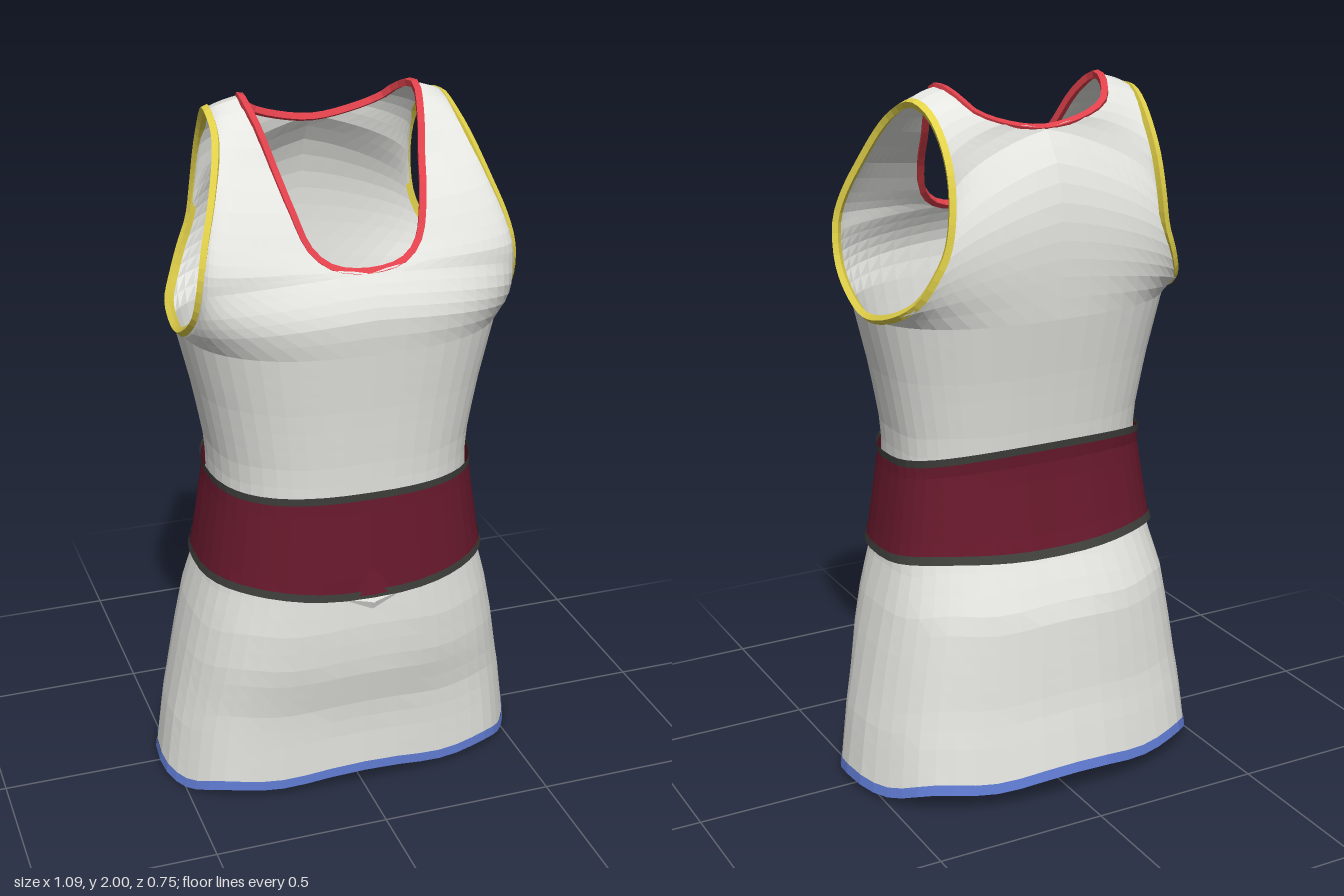
import * as THREE from 'three';

const mat = (name, color) => {
  const m = new THREE.MeshStandardMaterial({ color, flatShading: true, side: THREE.DoubleSide });
  m.name = name;
  return m;
};

// Body profile: height, half width, front z, back z
const PROFILE = [
  [0.0, 0.538, 0.316, -0.374], [0.2, 0.513, 0.32, -0.345], [0.28, 0.498, 0.326, -0.332],
  [0.42, 0.472, 0.358, -0.322], [0.55, 0.444, 0.366, -0.312], [0.66, 0.412, 0.362, -0.262],
  [0.72, 0.4, 0.358, -0.23], [0.95, 0.366, 0.338, -0.19], [1.05, 0.374, 0.343, -0.2],
  [1.2, 0.402, 0.355, -0.22], [1.38, 0.445, 0.374, -0.25],
];

// Bodice rows over the shoulder, front to back: inner edge x y z, armhole edge x y z
const FRONT_ROWS = [
  [0, 1.38, 0.374, 0.445, 1.38, 0.03], [0, 1.48, 0.382, 0.445, 1.42, 0.14],
  [0, 1.54, 0.362, 0.44, 1.48, 0.215], [0, 1.59, 0.33, 0.435, 1.55, 0.245],
  [0.1, 1.605, 0.318, 0.428, 1.61, 0.25], [0.155, 1.65, 0.288, 0.412, 1.68, 0.23],
  [0.187, 1.74, 0.233, 0.382, 1.77, 0.187], [0.212, 1.84, 0.15, 0.35, 1.87, 0.12],
  [0.234, 1.93, 0.08, 0.335, 1.92, 0.06], [0.25, 1.988, -0.01, 0.328, 1.955, -0.04],
];
const BACK_ROWS = [
  [0.232, 1.97, -0.09, 0.318, 1.935, -0.11], [0.2, 1.932, -0.138, 0.312, 1.88, -0.17],
  [0.13, 1.902, -0.162, 0.312, 1.8, -0.218], [0, 1.88, -0.17, 0.318, 1.7, -0.242],
  [0, 1.8, -0.225, 0.333, 1.6, -0.242], [0, 1.7, -0.255, 0.362, 1.53, -0.23],
  [0, 1.6, -0.263, 0.395, 1.46, -0.195], [0, 1.5, -0.26, 0.43, 1.41, -0.12],
  [0, 1.38, -0.25, 0.445, 1.38, 0.03],
];
const ROWS = [...FRONT_ROWS, ...BACK_ROWS];
const ROUND = 0.81; // below 1 squares the cross-section slightly
const CENTRE_Z = 0.03;
const AROUND = 48;

const lerp = THREE.MathUtils.lerp;

// Surface from a rule point(u, v)
function grid(cols, rows, point) {
  const pos = [], idx = [];
  for (let j = 0; j <= rows; j++)
    for (let i = 0; i <= cols; i++) pos.push(...point(i / cols, j / rows));
  for (let j = 0; j < rows; j++)
    for (let i = 0; i < cols; i++) {
      const a = j * (cols + 1) + i, b = a + cols + 1;
      idx.push(a, a + 1, b, a + 1, b + 1, b);
    }
  const g = new THREE.BufferGeometry();
  g.setAttribute('position', new THREE.Float32BufferAttribute(pos, 3));
  g.setIndex(idx);
  g.computeVertexNormals();
  return g;
}

// Point on the body at angle t (0 = front, a quarter turn = +x)
function bodyPoint(t, y, offset = 0) {
  let k = 1;
  while (k < PROFILE.length - 1 && y > PROFILE[k][0]) k++;
  const a = PROFILE[k - 1], b = PROFILE[k];
  const f = THREE.MathUtils.clamp((y - a[0]) / (b[0] - a[0]), 0, 1);
  const [w, zf, zb] = [1, 2, 3].map(n => lerp(a[n], b[n], f));
  const s = Math.sin(t), c = Math.cos(t);
  const fold = 1 + 0.012 * Math.max(0, 1 - y / 0.62) * Math.cos(8 * t);
  const depth = (c > 0 ? zf - CENTRE_Z : CENTRE_Z - zb) + offset;
  return [
    Math.sign(s) * Math.abs(s) ** ROUND * (w + offset) * fold,
    y,
    CENTRE_Z + Math.sign(c) * Math.abs(c) ** ROUND * depth * fold,
  ];
}

// Band around the body between two height rules
const band = (low, high, offset, rows) => grid(AROUND, rows, (u, v) => {
  const t = u * Math.PI * 2;
  return bodyPoint(t, lerp(low(t), high(t), v), offset);
});

// Uneven edges of the hem and the sash
const hem = t => 0.04 - 0.025 * Math.cos(t) + 0.03 * Math.max(0, Math.cos(t)) ** 6 + 0.009 * Math.cos(8 * t)
  - 0.03 * Math.sin(t) ** 4;
const sashLow = t => 0.695 - 0.02 * Math.cos(t) - 0.006 * Math.cos(4 * t);
const sashHigh = t => 0.975 - 0.025 * Math.cos(t) + 0.012 * Math.cos(2 * t);
const shift = (f, d) => t => f(t) + d;

export function createModel() {
  const model = new THREE.Group();
  model.name = 'dress';
  const cloth = mat('white cloth', 0xe4e4e0);
  const sashRed = mat('burgundy', 0x68192c);
  const dark = mat('dark grey', 0x3e3e3b);
  const red = mat('red', 0xe0414b);
  const yellow = mat('yellow', 0xe4d34a);
  const blue = mat('blue', 0x627ed6);
  const add = (name, geometry, material) => {
    const m = new THREE.Mesh(geometry, material);
    m.name = name;
    model.add(m);
    return m;
  };

  // Skirt and lower bodice, with the hem showing on both sides
  add('skirtAndWaist', band(shift(hem, 0.026), () => 1.38, 0, 24), cloth);
  add('hemTrim', band(hem, shift(hem, 0.03), 0.002, 1), blue);

  // Sash with dark borders
  add('sash', band(sashLow, sashHigh, 0.012, 6), sashRed);
  add('sashLowerBorder', band(shift(sashLow, -0.01), shift(sashLow, 0.013), 0.016, 1), dark);
  add('sashUpperBorder', band(shift(sashHigh, -0.012), shift(sashHigh, 0.01), 0.016, 1), dark);

  // Peaked knot at the front of the sash, with cloth gathered below it
  const knot = add('sashKnot', new THREE.ConeGeometry(0.065, 0.085, 6), sashRed);
  knot.scale.z = 0.25;
  knot.position.set(0, 0.713, 0.366);
  for (const s of [-1, 1]) {
    const tail = add('gatheredCloth', new THREE.ConeGeometry(0.024, 0.1, 4), cloth);
    tail.scale.z = 0.4;
    tail.position.set(s * 0.045, 0.655, 0.37);
    tail.rotation.z = -s * 1.35;
  }

  // Upper bodice: each half runs over the shoulder from front to back
  const curve = k => new THREE.CatmullRomCurve3(ROWS.map(r => new THREE.Vector3(r[k], r[k + 1], r[k + 2])));
  const inner = curve(0), outer = curve(3);
  const bodicePoint = (u, v) => {
    const a = inner.getPoint(v), b = outer.getPoint(v), t = u * Math.PI / 2;
    const fx = Math.sin(t) ** ROUND, fz = 1 - Math.max(0, Math.cos(t)) ** ROUND;
    return [lerp(Math.max(0, a.x), b.x, fx), lerp(a.y, b.y, u), lerp(a.z, b.z, fz)];
  };
  add('bodiceLeft', grid(AROUND / 4, 36, bodicePoint), cloth);
  add('bodiceRight', grid(AROUND / 4, 36, (u, v) => {
    const [x, y, z] = bodicePoint(1 - u, v);
    return [-x, y, z];
  }), cloth);

  // Edge trims, set just inside the openings
  const trim = (name, points, material) => add(name, new THREE.TubeGeometry(
    new THREE.CatmullRomCurve3(points, true), 56, 0.013, 4, true), material);
  const neck = ROWS.slice(3, 14).map(r => new THREE.Vector3(r[0] * 0.97, r[1], lerp(r[2], 0.07, 0.05)));
  const neckMirror = neck.slice(1, -1).reverse().map(p => new THREE.Vector3(-p.x, p.y, p.z));
  trim('neckTrim', [...neck, ...neckMirror], red);
  for (const [name, s] of [['armholeTrimLeft', 1], ['armholeTrimRight', -1]])
    trim(name, ROWS.slice(0, -1).map(r => new THREE.Vector3(s * (r[3] - 0.002), r[4], r[5])), yellow);

  return model;
}
